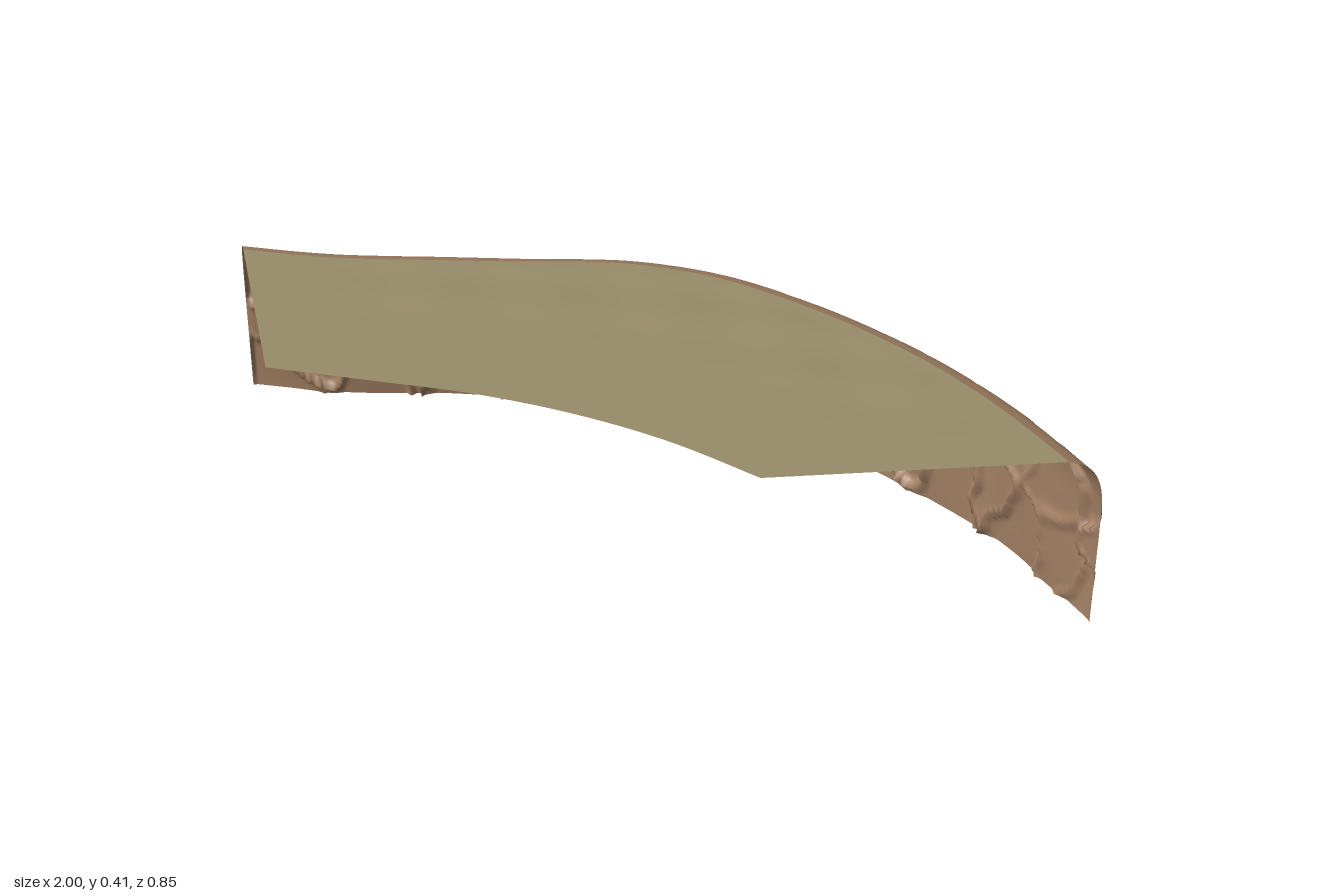
import * as THREE from 'three';

// Plan curves: back line of the cliff and front line of the turf
const curve = (pts) => new THREE.SplineCurve(pts.map(([x, z]) => new THREE.Vector2(x, z)));
const back = curve([[-1, 0.01], [-0.8, -0.065], [-0.6, -0.165], [-0.4, -0.265], [-0.2, -0.365], [0, -0.413],
  [0.2, -0.41], [0.4, -0.38], [0.6, -0.325], [0.8, -0.24], [1, -0.125]]);
const front = curve([[-0.64, 0.423], [-0.426, 0.357], [-0.212, 0.293], [0.002, 0.255], [0.216, 0.245], [0.43, 0.265]]);
// Cliff section: inward distance and height, rounding over at the top
const section = new THREE.SplineCurve([[0, 0], [0, 0.08], [0, 0.16], [0, 0.24], [0.002, 0.315], [0.013, 0.362],
  [0.036, 0.394], [0.075, 0.41]].map(([d, y]) => new THREE.Vector2(d, y)));
const RIM = 0.075, TOP = 0.41, TILE = 0.66;

// Stones of one repeating stretch of rock: x, y, bulge
const stones = [[0.1, 0.31, 0.004], [0.22, 0.25, -0.004], [0.34, 0.32, 0.006], [0.58, 0.3, 0.001],
  [0.05, 0.17, -0.003], [0.12, 0.07, 0.005], [0.25, 0.12, -0.001], [0.33, 0.05, 0.005],
  [0.37, 0.19, -0.005], [0.6, 0.1, 0.004], [0.55, 0.2, -0.003], [0.47, 0.31, -0.003]];

const smooth = THREE.MathUtils.smoothstep;

// Outward rock relief at a point along the wall
function relief(x, y) {
  const px = x + 0.012 * Math.sin(y * 31 + x * 9) + 0.005 * Math.sin(y * 67 + x * 23);
  const py = y + 0.012 * Math.sin(x * 29) + 0.006 * Math.sin(x * 61 + y * 17);
  const u = THREE.MathUtils.euclideanModulo(px, TILE);
  let d1 = 9, d2 = 9, h = 0;
  stones.forEach(([sx, sy, bulge], i) => {
    let dx = u - sx;
    dx -= TILE * Math.round(dx / TILE);
    const dy = py - sy, d = Math.hypot(dx, dy * 0.6);
    if (d < d1) {
      d2 = d1;
      d1 = d;
      h = bulge + 0.06 * dx * Math.sin(i * 2.4) + 0.04 * dy * Math.cos(i * 1.7);
    } else if (d < d2) d2 = d;
  });
  h -= 0.009 * (1 - smooth(d2 - d1, 0, 0.02));
  // Tall seam between repeats
  const seam = Math.abs(u - TILE * Math.round(u / TILE));
  h -= 0.012 * (1 - smooth(seam, 0, 0.012));
  // Arched stone set in a groove
  const ax = u - 0.47, ay = py - Math.min(Math.max(py, 0.08), 0.155);
  const edge = Math.hypot(ax, ay) - 0.055;
  if (edge < 0) h = 0.007;
  h -= 0.013 * (1 - smooth(Math.abs(edge), 0, 0.009));
  return h + 0.003 * Math.sin(x * 19 + y * 11);
}

// Smooth sheet from a rule giving a point for u, v in 0..1
function sheet(name, nu, nv, material, rule) {
  const pos = [], index = [];
  for (let j = 0; j <= nv; j++) {
    for (let i = 0; i <= nu; i++) {
      pos.push(...rule(i / nu, j / nv));
      if (i < nu && j < nv) {
        const a = j * (nu + 1) + i, c = a + nu + 1;
        index.push(a, c, a + 1, a + 1, c, c + 1);
      }
    }
  }
  const geo = new THREE.BufferGeometry();
  geo.setAttribute('position', new THREE.Float32BufferAttribute(pos, 3));
  geo.setIndex(index);
  geo.computeVertexNormals();
  const mesh = new THREE.Mesh(geo, material);
  mesh.name = name;
  return mesh;
}

export function createModel() {
  const rock = new THREE.MeshStandardMaterial({ color: 0xa07e62, side: THREE.DoubleSide });
  rock.name = 'brown rock';
  const turf = new THREE.MeshStandardMaterial({ color: 0x988c68, side: THREE.DoubleSide });
  turf.name = 'dry grass';

  const group = new THREE.Group();
  group.name = 'cliffEdge';

  // Curved rock face with rounded rim, open behind
  group.add(sheet('rockWall', 420, 56, rock, (u, v) => {
    const b = back.getPoint(u), inward = front.getPoint(u).sub(b).normalize();
    const s = section.getPoint(v);
    const fade = (1 - smooth(s.y, 0.33, 0.405)) * smooth(Math.min(u, 1 - u), 0, 0.01);
    const p = b.addScaledVector(inward, s.x - relief(b.x, s.y) * fade);
    return [p.x, s.y, p.y];
  }));

  // Thin grass top with faint swells near the rim
  group.add(sheet('grassTop', 100, 30, turf, (u, v) => {
    const b = back.getPoint(u), f = front.getPoint(u);
    const inward = f.clone().sub(b).normalize();
    const p = b.addScaledVector(inward, RIM).lerp(f, v);
    const swell = smooth(v, 0, 0.12) * (1 - smooth(v, 0.3, 0.6)) * smooth(Math.min(u, 1 - u), 0, 0.2);
    const y = TOP + 0.003 * swell * Math.sin(p.x * 17 + p.y * 9) * Math.cos(p.y * 21 - p.x * 5);
    return [p.x, y, p.y];
  }));
  return group;
}
